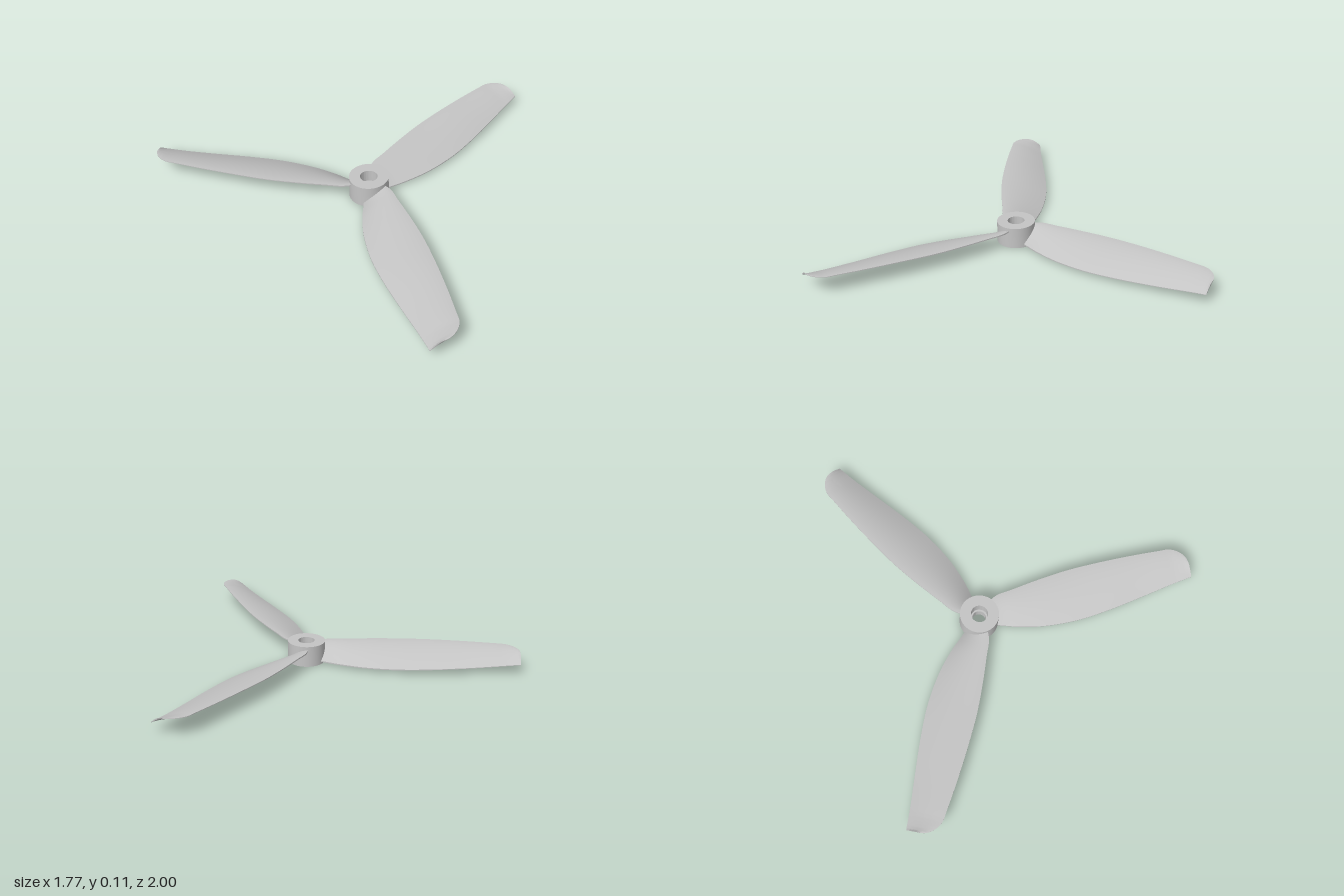
import * as THREE from 'three';
import { toCreasedNormals } from 'three/addons/utils/BufferGeometryUtils.js';

// Stations along a blade, measured from the hub axis:
// [distance out, high edge z, high edge y, low edge z, low edge y, thickness]
const STATIONS = [
  [0.06, -0.055, 0.090, 0.045, 0.016, 0.022],
  [0.12, -0.080, 0.092, 0.068, 0.016, 0.022],
  [0.20, -0.087, 0.093, 0.097, 0.018, 0.020],
  [0.33, -0.100, 0.095, 0.128, 0.020, 0.018],
  [0.50, -0.110, 0.098, 0.143, 0.024, 0.016],
  [0.68, -0.106, 0.102, 0.134, 0.030, 0.014],
  [0.86, -0.095, 0.104, 0.114, 0.038, 0.012],
  [1.00, -0.082, 0.105, 0.097, 0.047, 0.011],
  [1.05, -0.077, 0.105, 0.092, 0.051, 0.010],
  [1.085, -0.060, 0.105, 0.089, 0.054, 0.010],
  [1.11, -0.036, 0.104, 0.087, 0.056, 0.009],
  [1.125, -0.010, 0.102, 0.086, 0.057, 0.009],
  [1.13, 0.015, 0.098, 0.085, 0.058, 0.008],
];

// Cambered blade lofted between its two edge curves
function bladeGeometry() {
  const curve = (f) => new THREE.CatmullRomCurve3(
    STATIONS.map((s) => new THREE.Vector3(...f(s))), false, 'catmullrom', 0.5);
  const high = curve((s) => [s[0], s[2], s[1]]);
  const low = curve((s) => [s[0], s[4], s[3]]);
  const thick = curve((s) => [s[0], s[5], 0]);
  const rings = 48, chord = 14, n = 2 * (chord + 1);
  const positions = [], index = [];

  for (let i = 0; i <= rings; i++) {
    const u = i / rings;
    const h = high.getPoint(u), l = low.getPoint(u), th = thick.getPoint(u).y;
    for (let j = 0; j < n; j++) {
      const upper = j <= chord;
      const t = (upper ? j : n - 1 - j) / chord;
      const half = th * 0.5 * (0.3 + 0.7 * Math.sin(Math.PI * t));
      const y = h.y + (l.y - h.y) * Math.pow(t, 1.45) + (upper ? half : -half);
      positions.push(h.x, y, h.z + (l.z - h.z) * t);
    }
  }
  for (let i = 0; i < rings; i++) {
    for (let j = 0; j < n; j++) {
      const k = (j + 1) % n;
      const a = i * n + j, b = i * n + k, c = a + n, d = b + n;
      index.push(a, b, c, b, d, c);
    }
  }
  // Root and tip caps
  const tip = rings * n;
  for (let j = 0; j < chord; j++) {
    const a = j, b = j + 1, c = n - 2 - j, d = n - 1 - j;
    index.push(a, c, b, a, d, c);
    index.push(tip + a, tip + b, tip + c, tip + a, tip + c, tip + d);
  }
  const geometry = new THREE.BufferGeometry();
  geometry.setAttribute('position', new THREE.Float32BufferAttribute(positions, 3));
  geometry.setIndex(index);
  return toCreasedNormals(geometry, 0.7);
}

// Ring-shaped hub with a stepped bore
function hubGeometry() {
  const profile = [
    [0.035, 0], [0.1, 0], [0.1, 0.113], [0.044, 0.113],
    [0.044, 0.05], [0.035, 0.05], [0.035, 0],
  ].map(([r, y]) => new THREE.Vector2(r, y));
  return toCreasedNormals(new THREE.LatheGeometry(profile, 48), 0.6);
}

export function createModel() {
  const plastic = new THREE.MeshStandardMaterial({ color: 0xc4c4c4 });
  plastic.name = 'light grey plastic';

  const propeller = new THREE.Group();
  propeller.name = 'propeller';

  const hub = new THREE.Mesh(hubGeometry(), plastic);
  hub.name = 'hub';
  propeller.add(hub);

  const geometry = bladeGeometry();
  for (let i = 0; i < 3; i++) {
    const blade = new THREE.Mesh(geometry, plastic);
    blade.name = 'blade' + (i + 1);
    blade.rotation.y = (-i * 2 * Math.PI) / 3;
    propeller.add(blade);
  }

  // The hub sits off centre so the whole outline is centred
  propeller.position.set(-0.25, 0, 0.01);
  const model = new THREE.Group();
  model.name = 'threeBladePropeller';
  model.add(propeller);
  return model;
}
